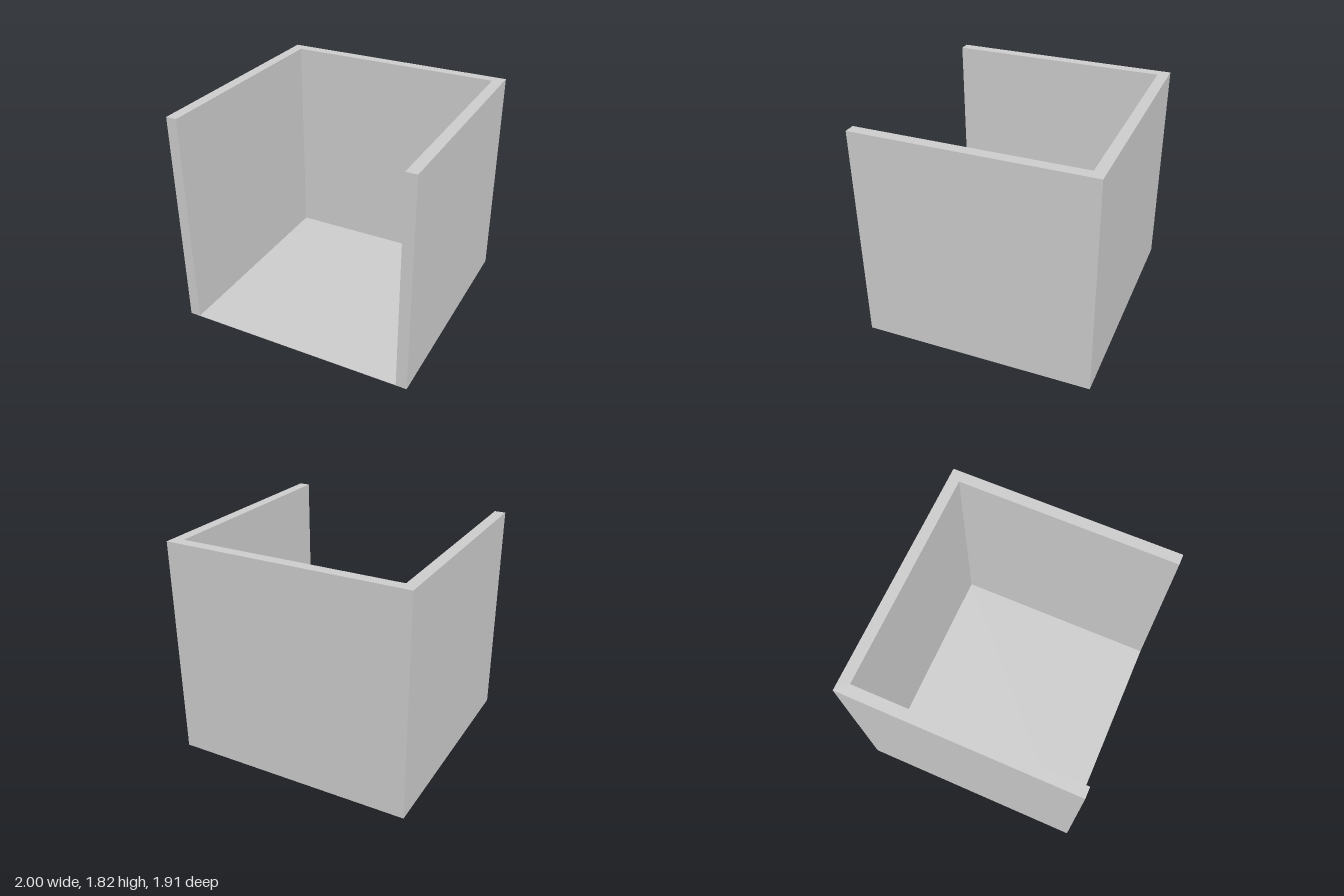
import * as THREE from 'three';

const WIDTH = 2, DEPTH = 1.91, HEIGHT = 1.82;
const WALL = 0.09, FLOOR = 0.004;

export function createModel() {
  const model = new THREE.Group();
  model.name = 'openRoom';
  const material = new THREE.MeshStandardMaterial({ color: 0xcccccc, flatShading: true });

  // Thin floor under the whole footprint
  const floor = new THREE.Mesh(new THREE.BoxGeometry(WIDTH, FLOOR, DEPTH), material);
  floor.name = 'floor';
  floor.position.y = FLOOR / 2;
  model.add(floor);

  // U-shaped plan, open to the front (plan y points to the back)
  const x = WIDTH / 2, z = DEPTH / 2, innerX = x - WALL, innerZ = z - WALL;
  const plan = new THREE.Shape([
    [-x, -z], [-innerX, -z], [-innerX, innerZ], [innerX, innerZ],
    [innerX, -z], [x, -z], [x, z], [-x, z],
  ].map(([px, py]) => new THREE.Vector2(px, py)));

  // Two side walls and the back wall, raised from the plan in one piece
  const wallGeometry = new THREE.ExtrudeGeometry(plan, { depth: HEIGHT - FLOOR, bevelEnabled: false });
  wallGeometry.rotateX(-Math.PI / 2);
  const walls = new THREE.Mesh(wallGeometry, material);
  walls.name = 'walls';
  walls.position.y = FLOOR;
  model.add(walls);

  return model;
}
